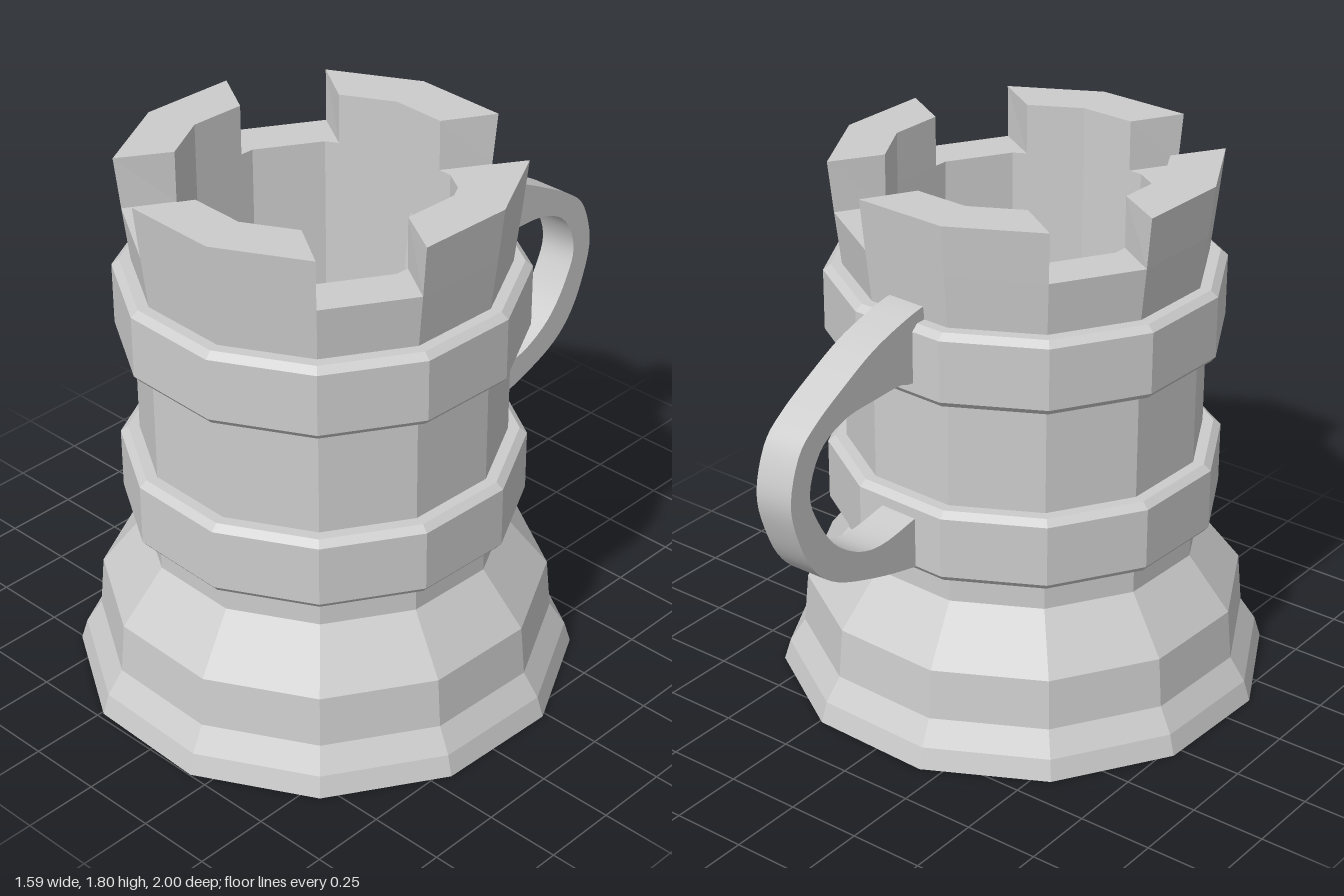
import * as THREE from 'three';
import { toCreasedNormals } from 'three/addons/utils/BufferGeometryUtils.js';

const SIDES = 12;
const TURN = THREE.MathUtils.degToRad(17.1); // first corner, measured from +x towards +z
const STEP = Math.PI / 6;
const CENTER_Z = 0.2;
const WALL_IN = 0.456;
const RIM_LOW = 0.609, RIM_HIGH = 0.627;
const NOTCH_Y = 1.63, TOP_Y = 1.8;

const stone = new THREE.MeshStandardMaterial({ color: 0xcccccc });
stone.name = 'stone grey';

function add(group, name, geometry, crease = 0.02) {
  const mesh = new THREE.Mesh(toCreasedNormals(geometry, crease), stone);
  mesh.name = name;
  group.add(mesh);
  return mesh;
}

// Twelve-sided turned form, faceted
function turned(profile) {
  const points = profile.map(([r, y]) => new THREE.Vector2(r, y));
  return new THREE.LatheGeometry(points, SIDES, Math.PI / 2 - TURN);
}

// Battlement block: two wall faces wide, with parallel notch sides, flared outwards
function merlonGeometry(mid) {
  const corners = [
    [RIM_LOW, -STEP], [RIM_LOW, 0], [RIM_LOW, STEP],
    [0.446, 0.422], [WALL_IN, 0], [0.446, -0.422],
  ].map(([r, a]) => new THREE.Vector2(r * Math.cos(mid + a), -r * Math.sin(mid + a)));
  const geo = new THREE.ExtrudeGeometry(new THREE.Shape(corners), { depth: TOP_Y - NOTCH_Y, bevelEnabled: false });
  geo.rotateX(-Math.PI / 2).translate(0, NOTCH_Y, 0);
  const pos = geo.attributes.position;
  for (let i = 0; i < pos.count; i++) {
    const x = pos.getX(i), z = pos.getZ(i);
    if (pos.getY(i) > TOP_Y - 0.01 && Math.hypot(x, z) > 0.55) {
      const k = RIM_HIGH / RIM_LOW;
      pos.setX(i, x * k);
      pos.setZ(i, z * k);
    }
  }
  return geo;
}

// Handle outline: distance behind the centre line, height
function handleGeometry() {
  const outer = [
    [0.25, 1.5], [0.37, 1.5], [0.48, 1.48], [0.615, 1.44], [0.75, 1.375], [0.875, 1.305], [0.957, 1.23], [1, 1.085],
    [0.97, 0.947], [0.905, 0.82], [0.8, 0.733], [0.61, 0.663], [0.42, 0.615], [0.3, 0.59],
  ];
  const inner = [
    [0.3, 0.81], [0.43, 0.79], [0.58, 0.77], [0.69, 0.79], [0.8, 0.86], [0.877, 0.968],
    [0.915, 1.085], [0.86, 1.21], [0.745, 1.268], [0.6, 1.277], [0.49, 1.278], [0.43, 1.262], [0.22, 1.24],
  ];
  const vec = (list) => list.map(([x, y]) => new THREE.Vector2(x, y));
  const shape = new THREE.Shape();
  shape.moveTo(...outer[0]);
  shape.splineThru(vec(outer.slice(1)));
  shape.lineTo(...inner[0]);
  shape.splineThru(vec(inner.slice(1)));
  shape.closePath();
  const geo = new THREE.ExtrudeGeometry(shape, { depth: 0.135, bevelEnabled: false, curveSegments: 4 });
  return geo.rotateY(Math.PI / 2).translate(-0.04, 0, 0);
}

export function createModel() {
  const model = new THREE.Group();
  model.name = 'towerMug';
  const tower = new THREE.Group();
  tower.name = 'tower';
  tower.position.z = CENTER_Z;
  model.add(tower);

  // Flared foot, straight wall, hollow inside
  add(tower, 'body', turned([
    [0, 0], [0.818, 0], [0.797, 0.07], [0.745, 0.15], [0.73, 0.32], [0.588, 0.5],
    [0.588, 1.45], [RIM_LOW, NOTCH_Y], [WALL_IN, NOTCH_Y], [WALL_IN, 0.25], [0, 0.25],
  ]));

  // Two chamfered hoops
  [['lowerBand', 0.6], ['upperBand', 1.21]].forEach(([name, y]) => {
    add(tower, name, turned([
      [0.57, 0], [0.632, 0], [0.649, 0.02], [0.649, 0.225], [0.625, 0.245], [0.57, 0.245],
    ])).position.y = y;
  });

  // Four battlements with one-face notches between them
  for (let i = 0; i < 4; i++) {
    add(tower, 'battlement' + (i + 1), merlonGeometry(TURN + 2 * STEP + i * Math.PI / 2));
  }

  // Curved handle at the back
  add(model, 'handle', handleGeometry(), 0.5);
  return model;
}
